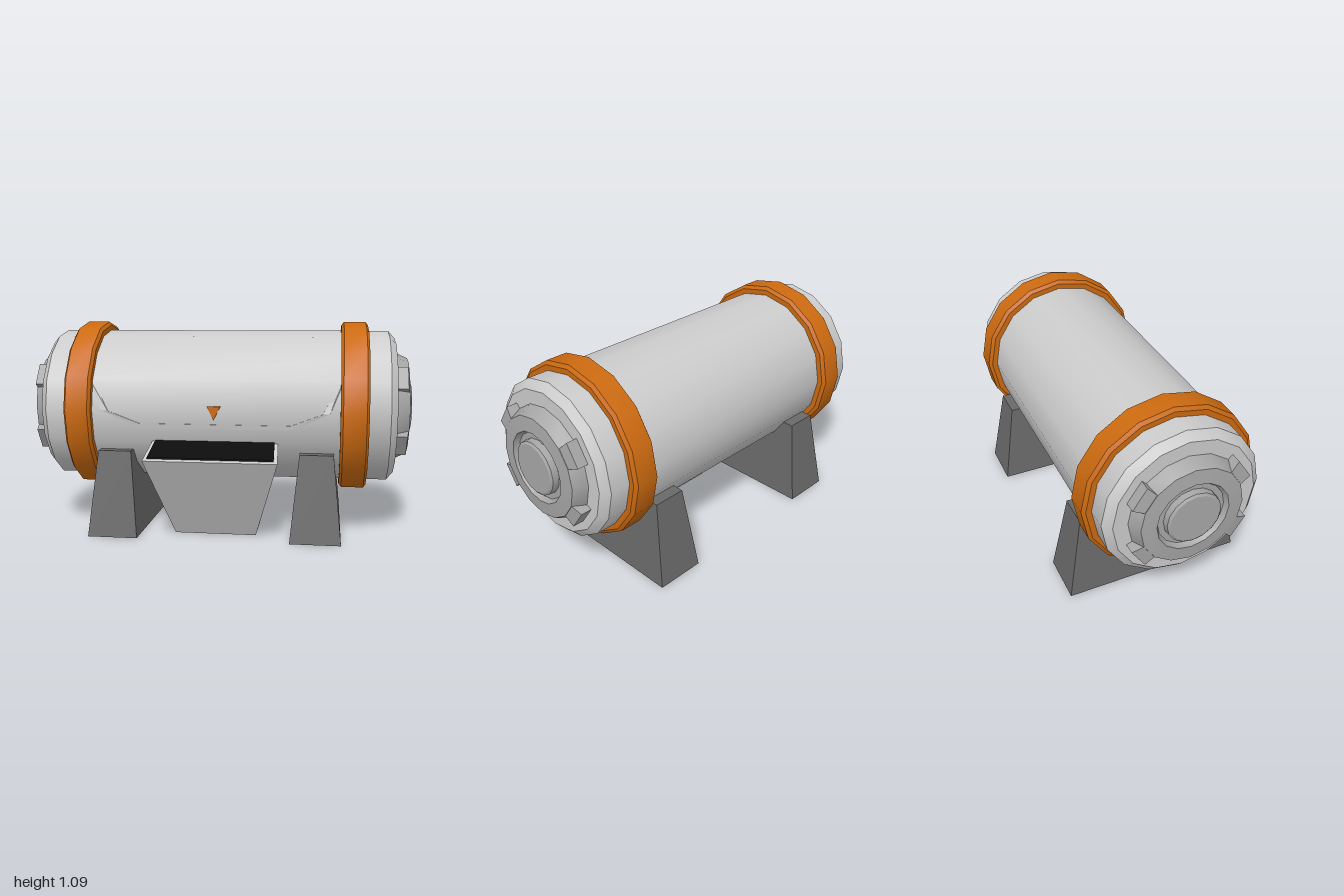
import * as THREE from 'three';
import { toCreasedNormals } from 'three/addons/utils/BufferGeometryUtils.js';

const SIDES = 16, AXIS_Y = 0.645, AXIS_Z = -0.046, STEP = Math.PI / 8;
const mat = (color) => new THREE.MeshStandardMaterial({ color });
const grey = mat(0xcccccc), midGrey = mat(0xa6a6a6), darkGrey = mat(0x696969);
const orange = mat(0xcc6a10), black = mat(0x0c0c0c);

function add(parent, name, geometry, material) {
  const mesh = new THREE.Mesh(geometry, material);
  mesh.name = name;
  parent.add(mesh);
  return mesh;
}

// Profile of [radius, x] pairs turned around the x axis
function turned(profile) {
  const g = new THREE.LatheGeometry(profile.map(([r, x]) => new THREE.Vector2(r, x)), SIDES);
  g.rotateZ(-Math.PI / 2);
  return toCreasedNormals(g, 0.45);
}

// Box whose corners (signs -1 / 1) are placed by a rule
function block(rule) {
  const g = new THREE.BoxGeometry(2, 2, 2), p = g.attributes.position;
  for (let i = 0; i < p.count; i++) {
    p.setXYZ(i, ...rule(Math.sign(p.getX(i)), Math.sign(p.getY(i)), Math.sign(p.getZ(i))));
  }
  g.computeVertexNormals();
  return g;
}

// Depth of the sixteen-sided drum at height dy from its axis
function drumDepth(dy) {
  const a = Math.abs(dy), k = a < 0.4 * Math.sin(STEP) ? 0 : 1;
  const y0 = 0.4 * Math.sin(k * STEP), y1 = 0.4 * Math.sin((k + 1) * STEP);
  const z0 = 0.4 * Math.cos(k * STEP), z1 = 0.4 * Math.cos((k + 1) * STEP);
  return z0 + (z1 - z0) * (a - y0) / (y1 - y0);
}

// Flat outline (x, y from the axis) laid onto the front of the drum
function onDrum(points, thickness) {
  const shape = new THREE.Shape(points.map(([x, y]) => new THREE.Vector2(x, y)));
  const g = new THREE.ExtrudeGeometry(shape, { depth: thickness + 0.01, bevelEnabled: false });
  const p = g.attributes.position;
  for (let i = 0; i < p.count; i++) p.setZ(i, p.getZ(i) - 0.01 + drumDepth(p.getY(i)));
  g.computeVertexNormals();
  return g;
}

function endHub() {
  const hub = new THREE.Group();
  hub.name = 'endHub';
  add(hub, 'hubDisc', turned([
    [0.289, 0.905], [0.257, 0.978], [0.182, 0.985], [0.168, 0.96],
    [0.139, 0.96], [0.136, 0.992], [0.124, 1.0], [0, 1.0],
  ]), midGrey);

  // Four lugs, each one facet wide
  for (const start of [1, 6, 9, 14]) {
    const a = start * STEP, b = a + STEP;
    const corners = [[0.24, a], [0.317, a], [0.317, b], [0.24, b]];
    const shape = new THREE.Shape(corners.map(([r, t]) =>
      new THREE.Vector2(r * Math.cos(t), r * Math.sin(t))));
    const g = new THREE.ExtrudeGeometry(shape, { depth: 0.07, bevelEnabled: false });
    const p = g.attributes.position;
    for (let i = 0; i < p.count; i++) {
      const r = Math.hypot(p.getX(i), p.getY(i));
      if (p.getZ(i) > 0.03) p.setZ(i, r > 0.28 ? 0.06 : 0.074);
    }
    g.computeVertexNormals();
    g.translate(0, 0, 0.905).rotateY(Math.PI / 2);
    add(hub, 'hubLug', g, midGrey);
  }
  return hub;
}

export function createModel() {
  const model = new THREE.Group();
  model.name = 'drumMachine';

  // Drum with everything centred on its axis
  const drum = new THREE.Group();
  drum.name = 'drum';
  drum.position.set(0, AXIS_Y, AXIS_Z);
  model.add(drum);
  add(drum, 'drumBody', turned([
    [0, -0.91], [0.36, -0.91], [0.4, -0.875], [0.4, 0.875], [0.36, 0.91], [0, 0.91],
  ]), grey);

  for (const side of [1, -1]) {
    const ring = add(drum, 'orangeRing', turned([
      [0.39, -0.07], [0.428, -0.07], [0.446, -0.057],
      [0.446, 0.057], [0.428, 0.07], [0.39, 0.07],
    ]), orange);
    ring.position.x = side * 0.7;
    const hub = endHub();
    if (side < 0) hub.rotation.y = Math.PI;
    drum.add(hub);
  }

  // Hatch trim line and its pointer on the front
  const lower = [[0.64, 0.15], [0.58, 0.003], [0.39, -0.085]];
  const upper = [[0.64, 0.18], [0.545, 0], [0.385, -0.063]];
  const mirrored = (pts) => pts.map(([x, y]) => [-x, y]);
  add(drum, 'hatchTrim', onDrum([
    ...mirrored(lower), ...[...lower].reverse(),
    ...upper, ...mirrored(upper).reverse(),
  ], 0.004), grey);
  add(drum, 'pointer', onDrum([[-0.034, 0.03], [0, -0.04], [0.034, 0.03]], 0.01), orange);

  // Tapered cradle legs
  for (const side of [1, -1]) {
    add(model, 'cradleLeg', block((sx, sy, sz) => {
      const top = sy > 0;
      const x = side * 0.516 + sx * (top ? 0.085 : 0.128);
      const z = sz > 0 ? (top ? 0.345 : 0.42) : (top ? -0.438 : -0.514);
      return [x, top ? 0.437 : 0, z];
    }), darkGrey);
  }

  // Flared hopper at the front with a dark tray on its sloping rim
  const rimY = (z) => 0.42 + 0.347 * (0.514 - z);
  add(model, 'hopper', block((sx, sy, sz) => {
    if (sy < 0) return [sx * 0.21, 0, sz > 0 ? 0.284 : 0.03];
    const z = sz > 0 ? 0.514 : 0.15;
    return [sx * (sz > 0 ? 0.333 : 0.315), rimY(z), z];
  }), grey);
  add(model, 'hopperTray', block((sx, sy, sz) => {
    const z = sz > 0 ? 0.492 : 0.2;
    return [sx * (sz > 0 ? 0.313 : 0.3), rimY(z) + sy * 0.008, z];
  }), black);

  return model;
}
